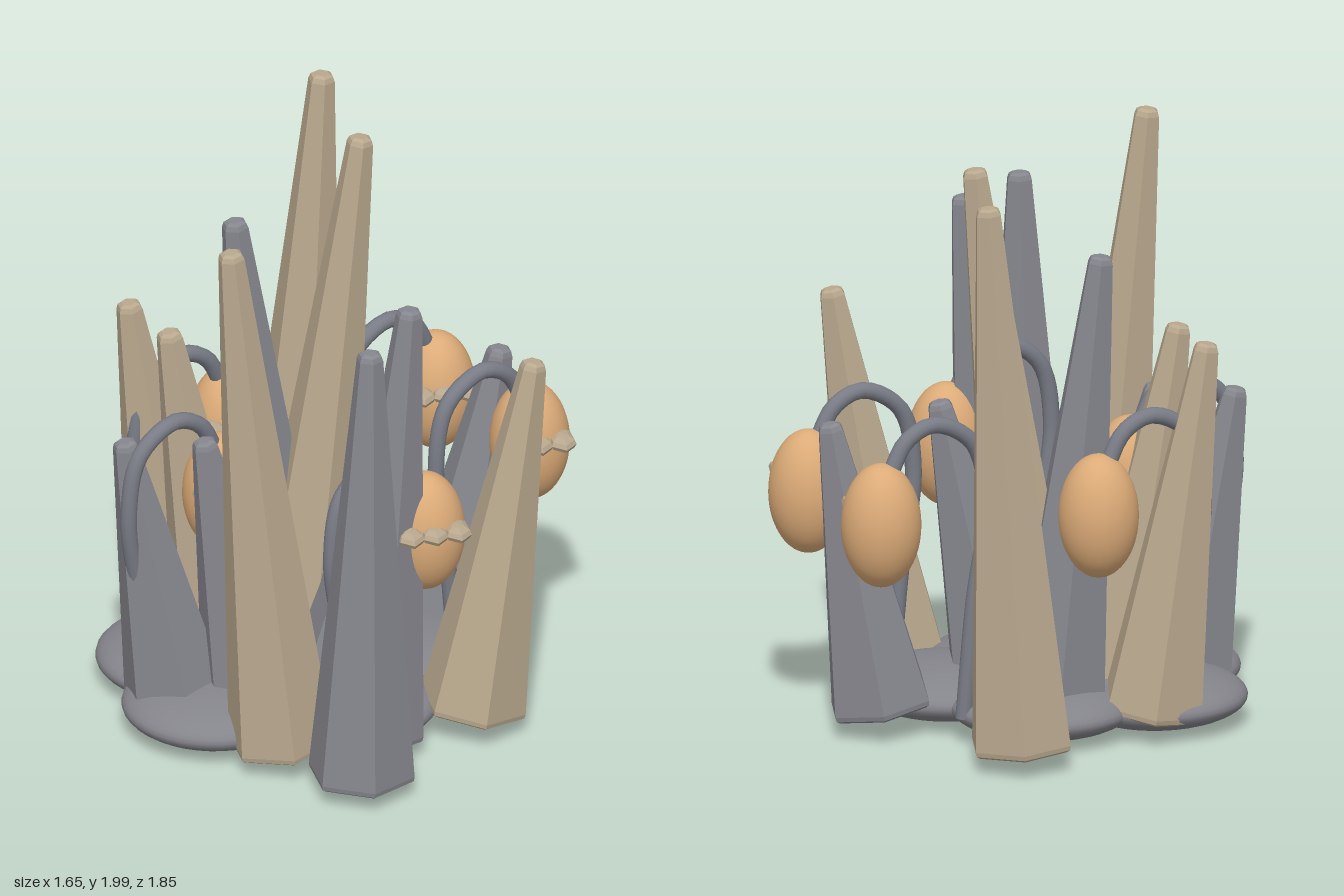
import * as THREE from 'three';

const mat = (name, color, flatShading = false) => {
  const m = new THREE.MeshStandardMaterial({ color, flatShading });
  m.name = name;
  return m;
};

export function createModel() {
  const root = new THREE.Group();
  root.name = 'spikeGarden';
  const tan = mat('tan', 0xb9a88e, true);
  const grey = mat('grey', 0x86868e, true);
  const baseGrey = mat('baseGrey', 0x84848b);
  const stemGrey = mat('stemGrey', 0x797c86);
  const orange = mat('orange', 0xdcab78);

  const add = (parent, name, geo, material, x = 0, y = 0, z = 0) => {
    const m = new THREE.Mesh(geo, material);
    m.name = name;
    m.position.set(x, y, z);
    parent.add(m);
    return m;
  };

  // Overlapping flattened mounds forming the ground
  const mound = new THREE.SphereGeometry(1, 40, 20).scale(0.32, 0.095, 0.32);
  [[-0.1, -0.32], [-0.49, -0.21], [0.21, -0.05], [-0.49, 0.15], [-0.05, 0.24]]
    .forEach(([x, z]) => add(root, 'baseMound', mound, baseGrey, x, 0.105, z));

  // Hexagonal spike leaning sideways from its base to its tip
  const spike = (name, material, baseX, tipX, z, top) => {
    const tilt = Math.atan2(tipX - baseX, top - 0.08);
    const baseY = 0.063 + 0.16 * Math.abs(Math.sin(tilt));
    const h = (top - baseY) / Math.cos(tilt);
    const profile = [[0, 0], [0.172, 0], [0.185, 0.008], [0.188, 0.024],
      [0.047, h - 0.025], [0.04, h - 0.008], [0.026, h], [0, h]]
      .map(([r, y]) => new THREE.Vector2(r, y));
    const m = add(root, name, new THREE.LatheGeometry(profile, 6), material, baseX, baseY, z);
    m.rotation.z = -tilt;
  };

  // base x, tip x, z, height of the tip
  [
    [0, 0.115, -0.74, 2], [-0.09, 0.13, -0.26, 2], [-0.33, -0.51, 0.45, 2],
    [0.36, 0.58, 0.38, 1.4], [-0.47, -0.66, -0.38, 1.4], [-0.37, -0.58, -0.14, 1.4],
  ].forEach((s) => spike('tanSpike', tan, ...s));
  [
    [-0.12, -0.09, 0.73, 1.7], [-0.02, 0.12, 0.455, 1.7], [-0.14, -0.3, -0.32, 1.7],
    [-0.34, -0.525, 0.13, 1.11], [-0.6, -0.79, 0.07, 1.11],
    [0.02, 0.24, -0.03, 1.11], [0.45, 0.63, -0.28, 1.11],
  ].forEach((s) => spike('greySpike', grey, ...s));

  // Hanging pods: curved stem, egg-shaped body and three small claws
  const path = new THREE.CatmullRomCurve3([
    [-0.29, 0.1, 0.11], [-0.325, 0.5, 0.125], [-0.37, 0.85, 0.155], [-0.325, 1.07, 0.135],
    [-0.19, 1.155, 0.08], [-0.09, 1.11, 0.04], [-0.03, 1.0, 0.01],
  ].map((p) => new THREE.Vector3(...p)));
  const stem = new THREE.TubeGeometry(path, 40, 0.029, 12);
  const body = new THREE.SphereGeometry(1, 32, 24).scale(0.138, 0.218, 0.138);
  const claw = new THREE.SphereGeometry(1, 6, 6).rotateY(Math.PI / 6).scale(0.049, 0.03, 0.08);
  // Turn the hexagon so a corner points forward
  const pointClaw = new THREE.SphereGeometry(1, 6, 6, Math.PI / 2).scale(0.05, 0.03, 0.08);
  const clawGeo = pointClaw.attributes.position ? pointClaw : claw;

  [[0.47, -0.56], [0.69, -0.12], [-0.28, -0.49], [-0.42, -0.02], [0.18, 0.43]].forEach(([x, z]) => {
    const pod = new THREE.Group();
    pod.name = 'hangingPod';
    pod.position.set(x, 0, z);
    root.add(pod);
    add(pod, 'stem', stem, stemGrey);
    add(pod, 'podBody', body, orange, 0, 0.825, 0);
    [-0.083, 0, 0.083].forEach((dx) => add(pod, 'claw', clawGeo, tan, dx, 0.87, 0.115));
  });

  return root;
}
